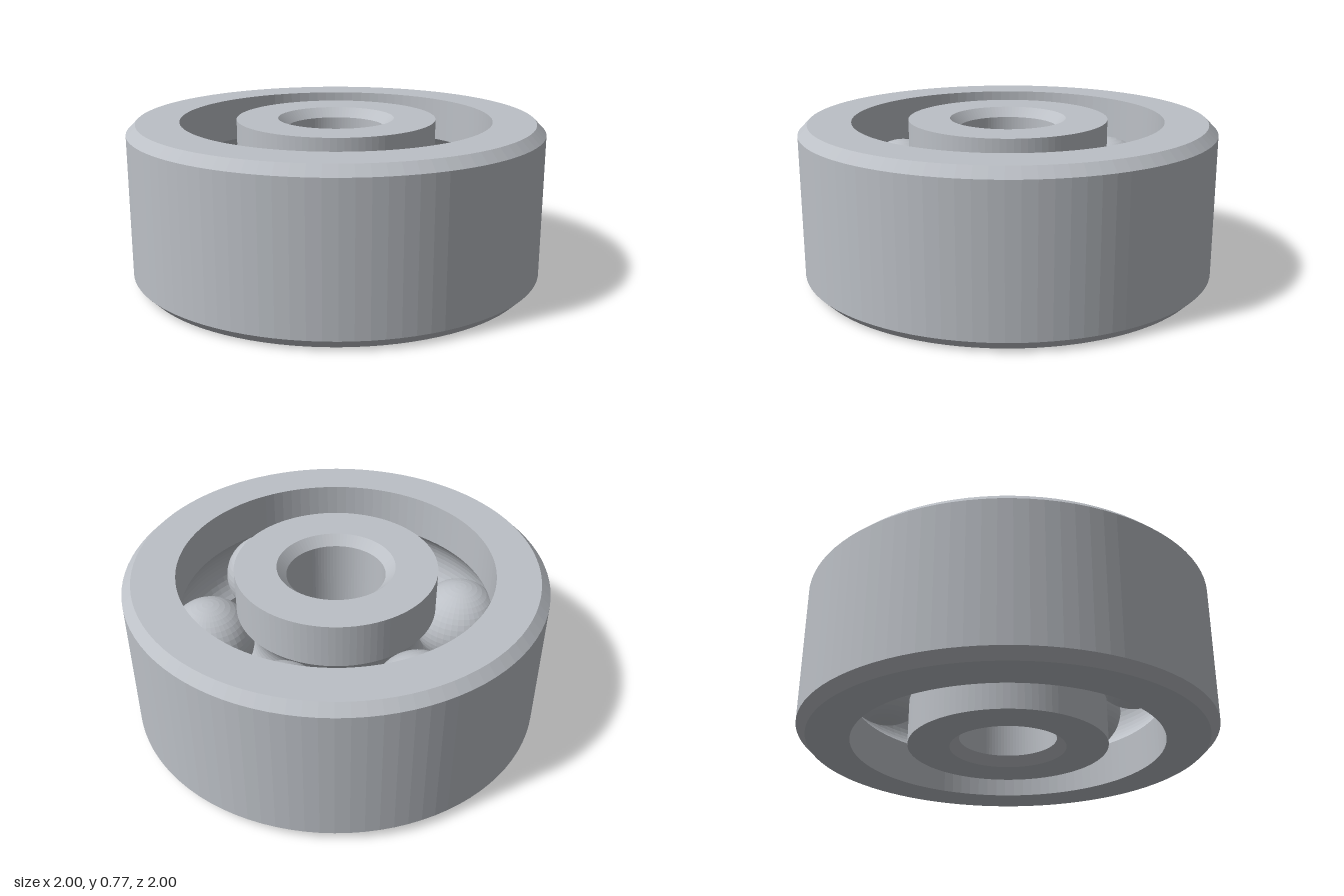
import * as THREE from 'three';

const HEIGHT = 0.77, MID = HEIGHT / 2, CHAMFER = 0.045;
const PITCH = 0.615, BALL = 0.212, GROOVE = 0.215;

export function createModel() {
  const model = new THREE.Group();
  model.name = 'ballBearing';
  const steel = new THREE.MeshStandardMaterial({ color: 0xbcc0c6, flatShading: true });
  steel.name = 'steel';

  const add = (name, geometry) => {
    const mesh = new THREE.Mesh(geometry, steel);
    mesh.name = name;
    model.add(mesh);
    return mesh;
  };
  const ring = (name, profile) =>
    add(name, new THREE.LatheGeometry(profile.map(([r, y]) => new THREE.Vector2(r, y)), 96));

  // Arc of the ball groove where it cuts a wall of the given radius
  const groove = (wall, steps = 14) => {
    const side = Math.sign(wall - PITCH);
    const limit = Math.acos(Math.abs(wall - PITCH) / GROOVE);
    return Array.from({ length: steps + 1 }, (_, i) => {
      const a = side * limit * (1 - 2 * i / steps);
      return [PITCH + side * GROOVE * Math.cos(a), MID + GROOVE * Math.sin(a)];
    });
  };

  // Outer race: chamfered outside, grooved inside
  ring('outerRace', [
    [0.75, 0], [1 - CHAMFER, 0], [1, CHAMFER], [1, HEIGHT - CHAMFER],
    [1 - CHAMFER, HEIGHT], [0.75, HEIGHT], ...groove(0.75), [0.75, 0],
  ]);

  // Inner race: grooved outside, chamfered bore
  ring('innerRace', [
    [0.28, 0], [0.48, 0], ...groove(0.48), [0.48, HEIGHT], [0.28, HEIGHT],
    [0.235, HEIGHT - CHAMFER], [0.235, CHAMFER], [0.28, 0],
  ]);

  // Six evenly spaced balls
  const ballGeometry = new THREE.SphereGeometry(BALL, 40, 24);
  for (let i = 0; i < 6; i++) {
    const a = i * Math.PI / 3;
    add('ball' + (i + 1), ballGeometry).position.set(PITCH * Math.cos(a), MID, PITCH * Math.sin(a));
  }
  return model;
}
